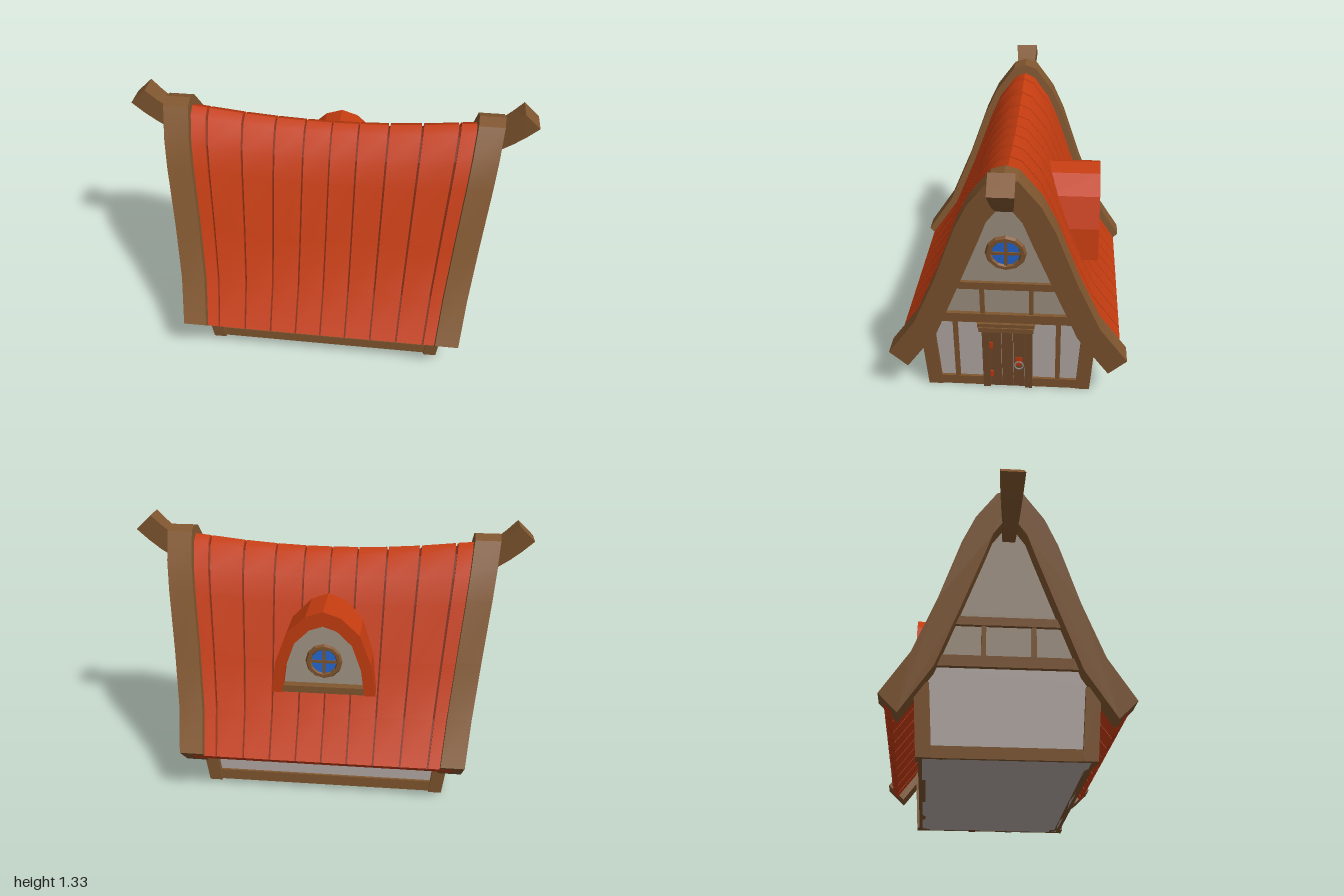
import * as THREE from 'three';
import { toCreasedNormals } from 'three/addons/utils/BufferGeometryUtils.js';

const mat = (name, color) => {
  const m = new THREE.MeshStandardMaterial({ color });
  m.name = name;
  return m;
};

// Half profiles of the gable boards as [z, y], ridge to eave
const OUTER = [[0, 1.27], [0.063, 1.25], [0.162, 1.123], [0.225, 0.993], [0.33, 0.704], [0.44, 0.45], [0.577, 0.255]];
const INNER = [[0, 1.135], [0.035, 1.1], [0.08, 1.04], [0.115, 0.945], [0.225, 0.665], [0.335, 0.39], [0.49, 0.17]];
const LEAN = 0.135, LEAN_Z = 0.06;

const blend = t => OUTER.map(([z, y], i) => [z + (INNER[i][0] - z) * t, y + (INNER[i][1] - y) * t]);
const mirror = half => [...half.slice(1).reverse().map(([z, y]) => [-z, y]), ...half];
const band = (a, b) => [...mirror(a), ...mirror(b).reverse()];

// Gables lean outward with height; the roof also sags towards the middle
function deform(geo, { sag = false, leanZ = false } = {}) {
  const p = geo.attributes.position;
  for (let i = 0; i < p.count; i++) {
    let x = p.getX(i), y = p.getY(i), z = p.getZ(i);
    const k = Math.min(1, Math.abs(x) / 0.58);
    x += Math.sign(x) * LEAN * y * k * k;
    if (leanZ) z += Math.sign(z) * LEAN_Z * y;
    if (sag) y -= 0.055 * Math.max(0, 1 - (x / 0.74) ** 2) * Math.min(1, Math.max(0, y - 0.22));
    p.setXYZ(i, x, y, z);
  }
  geo.computeVertexNormals();
  return geo;
}

const toShape = pts => new THREE.Shape(pts.map(([a, b]) => new THREE.Vector2(a, b)));

// Extrude a [z, y] outline between two x positions
function slab(pts, x0, x1, steps = 1, sag = true) {
  const g = new THREE.ExtrudeGeometry(toShape(pts), { depth: x1 - x0, steps, bevelEnabled: false });
  g.rotateY(Math.PI / 2).translate(x0, 0, 0);
  return deform(g, { sag });
}

export function createModel() {
  const house = new THREE.Group();
  house.name = 'cottage';
  const wood = mat('timber brown', 0x80562f);
  const doorWood = mat('door brown', 0x71492a);
  const red = mat('roof red', 0xc43c10);
  const darkRed = mat('roof gap red', 0x7a260c);
  const plaster = mat('pale plaster', 0xb8aea9);
  const upperPlaster = mat('tan plaster', 0xa39585);
  const blue = mat('window blue', 0x2468d4);
  const metal = mat('ring grey', 0x8c8a88);

  const add = (name, geo, material, parent = house) => {
    const m = new THREE.Mesh(geo, material);
    m.name = name;
    parent.add(m);
    return m;
  };
  const box = (name, material, x0, x1, y0, y1, z0, z1, leanZ = false) => {
    const g = new THREE.BoxGeometry(x1 - x0, y1 - y0, z1 - z0).toNonIndexed();
    g.translate((x0 + x1) / 2, (y0 + y1) / 2, (z0 + z1) / 2);
    return add(name, deform(g, { leanZ }), material);
  };
  // Box on the gable at side s, from depth d0 to d1
  const gableBox = (name, material, s, d0, d1, y0, y1, z0, z1) =>
    box(name, material, Math.min(s * d0, s * d1), Math.max(s * d0, s * d1), y0, y1, z0, z1);

  // Walls
  const lower = [[0, 0.445], [0.377, 0.445], [0.385, 0.42], [0.397, 0.36], [0.375, 0]];
  add('lowerWalls', slab(mirror(lower).filter(([z]) => z !== 0), -0.585, 0.585, 10), plaster);
  const upper = [...blend(0.5).slice(0, 5), [0.377, 0.445]];
  add('upperWalls', slab(mirror(upper), -0.585, 0.585, 10), upperPlaster);

  // Roof planks over a darker layer
  add('roofLining', slab(band(blend(0.4), blend(0.68)), -0.6, 0.6, 10), darkRed);
  for (let i = -5; i < 5; i++) {
    const x0 = i === -5 ? -0.62 : i * 0.126 + 0.004;
    const x1 = i === 4 ? 0.62 : (i + 1) * 0.126 - 0.004;
    add('roofPlank', toCreasedNormals(slab(band(blend(0.29), blend(0.7)), x0, x1), 0.5), red);
  }

  // Curved gable boards and ridge horns
  const curve = new THREE.QuadraticBezierCurve(
    new THREE.Vector2(0.7, 1.1), new THREE.Vector2(0.83, 1.15), new THREE.Vector2(0.965, 1.29));
  for (const s of [1, -1]) {
    const board = slab(band(OUTER, INNER), s > 0 ? 0.558 : -0.672, s > 0 ? 0.672 : -0.558, 1, false);
    add('gableBoard', toCreasedNormals(board, 0.4), wood);

    const horn = new THREE.BoxGeometry(1, 1, 1, 5, 1, 1);
    const p = horn.attributes.position;
    for (let i = 0; i < p.count; i++) {
      const u = p.getX(i) + 0.5, c = curve.getPoint(u), t = curve.getTangent(u);
      const h = p.getY(i) * 0.108, w = 0.06 + 0.056 * u;
      p.setXYZ(i, c.x - t.y * h, c.y + t.x * h, p.getZ(i) * w);
    }
    if (s < 0) horn.rotateY(Math.PI);
    add('ridgeHorn', toCreasedNormals(horn, 0.4), wood);
  }

  // Corner posts, sills and gable timbers
  for (const s of [1, -1]) {
    for (const f of [1, -1]) {
      box('cornerPost', wood, s > 0 ? 0.54 : -0.605, s > 0 ? 0.605 : -0.54, 0, 0.34,
        f > 0 ? 0.335 : -0.405, f > 0 ? 0.405 : -0.335, true);
    }
    box('sideSill', wood, -0.545, 0.545, 0, 0.055, s > 0 ? 0.36 : -0.392, s > 0 ? 0.392 : -0.36);
    gableBox('gableSill', wood, s, 0.57, 0.6, 0, 0.055, -0.34, 0.34);
    gableBox('tieBeam', wood, s, 0.57, 0.607, 0.419, 0.472, -0.34, 0.34);
    gableBox('collarBeam', wood, s, 0.57, 0.604, 0.62, 0.66, -0.26, 0.26);
    for (const z of [0.12, -0.113]) gableBox('shortStud', wood, s, 0.57, 0.6, 0.47, 0.622, z - 0.011, z + 0.011);
  }
  for (const z of [0.255, -0.244]) gableBox('tallStud', wood, 1, 0.57, 0.598, 0.05, 0.42, z - 0.012, z + 0.012);

  // Door
  for (const z of [0.108, -0.1]) gableBox('doorPost', doorWood, 1, 0.57, 0.614, 0, 0.375, z - 0.018, z + 0.018);
  gableBox('doorLintel', wood, 1, 0.57, 0.628, 0.373, 0.4, -0.125, 0.14);
  gableBox('doorCap', wood, 1, 0.57, 0.622, 0.398, 0.421, -0.13, 0.146);
  for (let i = 0; i < 3; i++) {
    const z = -0.081 + i * 0.057;
    gableBox('doorPlank', doorWood, 1, 0.57, 0.606, 0.004, 0.374, z + 0.002, z + 0.055);
  }
  for (const y of [0.085, 0.275]) gableBox('hinge', red, 1, 0.604, 0.611, y - 0.02, y + 0.02, 0.074, 0.092);
  gableBox('latchPlate', red, 1, 0.604, 0.612, 0.15, 0.2, -0.07, -0.036);
  const ring = add('doorRing', new THREE.TorusGeometry(0.021, 0.004, 6, 16), metal);
  ring.position.set(0.638, 0.155, -0.053);
  ring.rotation.y = Math.PI / 2;

  // Round windows with crossed bars
  const roundWindow = (name, x, y, z, turn, tilt, size = 1) => {
    const g = new THREE.Group();
    g.name = name;
    const frame = new THREE.TorusGeometry(0.08, 0.0165, 6, 12).toNonIndexed();
    frame.computeVertexNormals();
    add('windowFrame', frame, wood, g);
    const glass = add('windowGlass', new THREE.CylinderGeometry(0.076, 0.076, 0.008, 12), blue, g);
    glass.rotation.x = Math.PI / 2;
    add('windowBarUpright', new THREE.BoxGeometry(0.015, 0.145, 0.018), wood, g);
    add('windowBarLevel', new THREE.BoxGeometry(0.145, 0.015, 0.018), wood, g);
    g.position.set(x, y, z);
    g.rotation.set(tilt, turn, 0, 'YXZ');
    g.scale.setScalar(size);
    house.add(g);
  };
  roundWindow('gableWindow', 0.585 + LEAN * 0.83 + 0.005, 0.83, 0.003, Math.PI / 2, LEAN);
  roundWindow('frontWindow', 0.02, 0.215, 0.393, 0, LEAN_Z);
  roundWindow('backWindow', 0.02, 0.215, -0.393, Math.PI, LEAN_Z);

  // Arched dormer on the back slope
  const arch = [[0, 0.985], [0.085, 0.957], [0.178, 0.87], [0.235, 0.715], [0.258, 0.55]];
  const inner = arch.map(([x, y]) => [x * 0.79, 0.55 + (y - 0.55) * 0.83]);
  const extrudeZ = (pts, z0, z1) =>
    new THREE.ExtrudeGeometry(toShape(pts), { depth: z1 - z0, bevelEnabled: false }).translate(0, 0, z0);
  add('dormerRoof', extrudeZ(band(arch, inner), -0.432, -0.17), red);
  add('dormerWall', extrudeZ(mirror(inner), -0.385, -0.2), upperPlaster);
  const sill = add('dormerSill', new THREE.BoxGeometry(0.41, 0.035, 0.07), wood);
  sill.position.set(0, 0.57, -0.395);
  roundWindow('dormerWindow', 0, 0.71, -0.389, Math.PI, 0, 0.95);

  return house;
}
